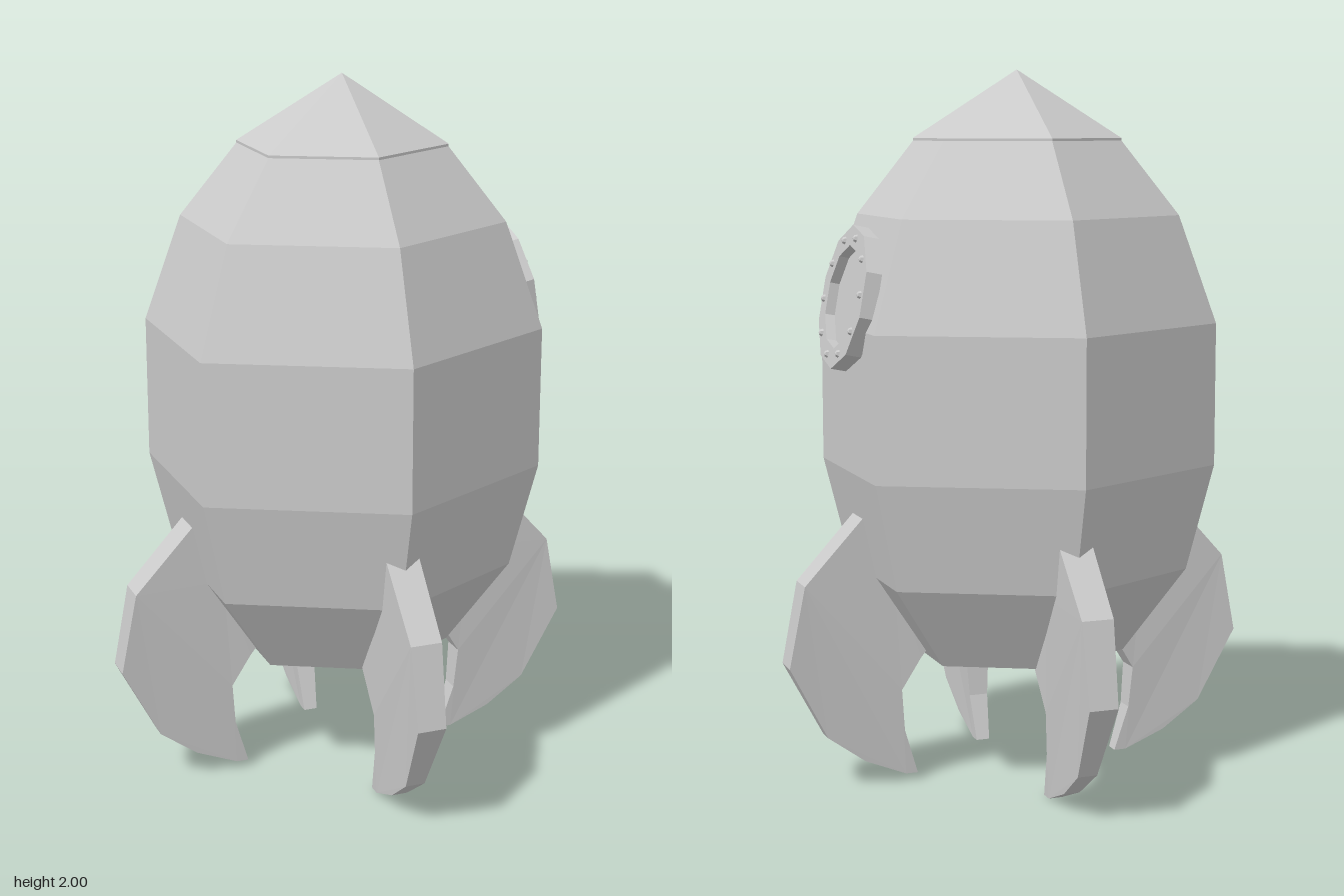
import * as THREE from 'three';

const material = new THREE.MeshStandardMaterial({ color: 0xcccccc, flatShading: true });

function part(name, geometry, parent) {
  const mesh = new THREE.Mesh(geometry, material);
  mesh.name = name;
  parent.add(mesh);
  return mesh;
}

// Turned shape from [radius, height] pairs
function turned(profile, sides, start = 0) {
  return new THREE.LatheGeometry(profile.map(([r, y]) => new THREE.Vector2(r, y)), sides, start);
}

// Curved fin whose thickness narrows toward the foot
function finGeometry() {
  const outline = [
    [0.455, 0.77], [0.38, 0.6], [0.28, 0.385], [0.3, 0.36], [0.355, 0.27], [0.345, 0.15],
    [0.305, 0.02], [0.34, 0.02], [0.46, 0.07], [0.57, 0.15], [0.68, 0.36], [0.635, 0.59], [0.47, 0.77],
  ];
  const shape = new THREE.Shape(outline.map(([x, y]) => new THREE.Vector2(x, y)));
  const geometry = new THREE.ExtrudeGeometry(shape, { depth: 1, bevelEnabled: false });
  const p = geometry.attributes.position;
  for (let i = 0; i < p.count; i++) {
    const y = p.getY(i);
    const half = y < 0.36
      ? THREE.MathUtils.mapLinear(y, 0.02, 0.36, 0.02, 0.041)
      : THREE.MathUtils.mapLinear(y, 0.36, 0.77, 0.041, 0.048);
    p.setZ(i, p.getZ(i) > 0.5 ? half : -half);
  }
  geometry.computeVertexNormals();
  return geometry;
}

export function createModel() {
  const model = new THREE.Group();
  model.name = 'rocket';

  // Six-sided hull with a recessed exhaust opening, slightly wider than deep
  const hull = new THREE.Group();
  hull.name = 'hull';
  hull.scale.x = 1.115;
  hull.position.z = -0.01;
  model.add(hull);
  part('body', turned([
    [0, 0.41], [0.228, 0.41], [0.228, 0.36], [0.282, 0.36], [0.445, 0.6],
    [0.515, 0.9], [0.515, 1.3], [0.417, 1.6], [0.265, 1.81],
  ], 6), hull);
  part('noseCone', turned([[0, 1.805], [0.269, 1.805], [0.269, 1.812], [0, 2]], 6), hull);

  // Four fins; the front and back pair sits slightly lower and closer in
  const fin = finGeometry();
  ['leftFin', 'backFin', 'rightFin', 'frontFin'].forEach((name, i) => {
    const angle = i * Math.PI / 2;
    const mesh = part(name, fin, model);
    const inset = i % 2 ? 0.025 : 0;
    mesh.rotation.y = angle;
    mesh.position.set(-inset * Math.cos(angle), i % 2 ? -0.02 : 0, inset * Math.sin(angle));
  });

  // Tilted ten-sided porthole on the left side
  const porthole = new THREE.Group();
  porthole.name = 'porthole';
  porthole.position.set(0.491, 1.38, -0.019);
  porthole.rotation.z = -1.367;
  model.add(porthole);
  const start = THREE.MathUtils.degToRad(24);
  part('portholeRing', turned([
    [0.143, -0.022], [0.199, -0.022], [0.199, 0.022], [0.143, 0.022], [0.143, -0.022],
  ], 10, start), porthole);
  part('portholeGlass', new THREE.CylinderGeometry(0.146, 0.146, 0.012, 10, 1, false, start), porthole)
    .position.y = -0.012;

  // Bolts around the ring
  const bolt = new THREE.SphereGeometry(0.011, 6, 4);
  for (let i = 0; i < 10; i++) {
    const a = start + (i + 0.5) * Math.PI / 5;
    part('bolt', bolt, porthole).position.set(0.166 * Math.sin(a), 0.022, 0.166 * Math.cos(a));
  }
  return model;
}
